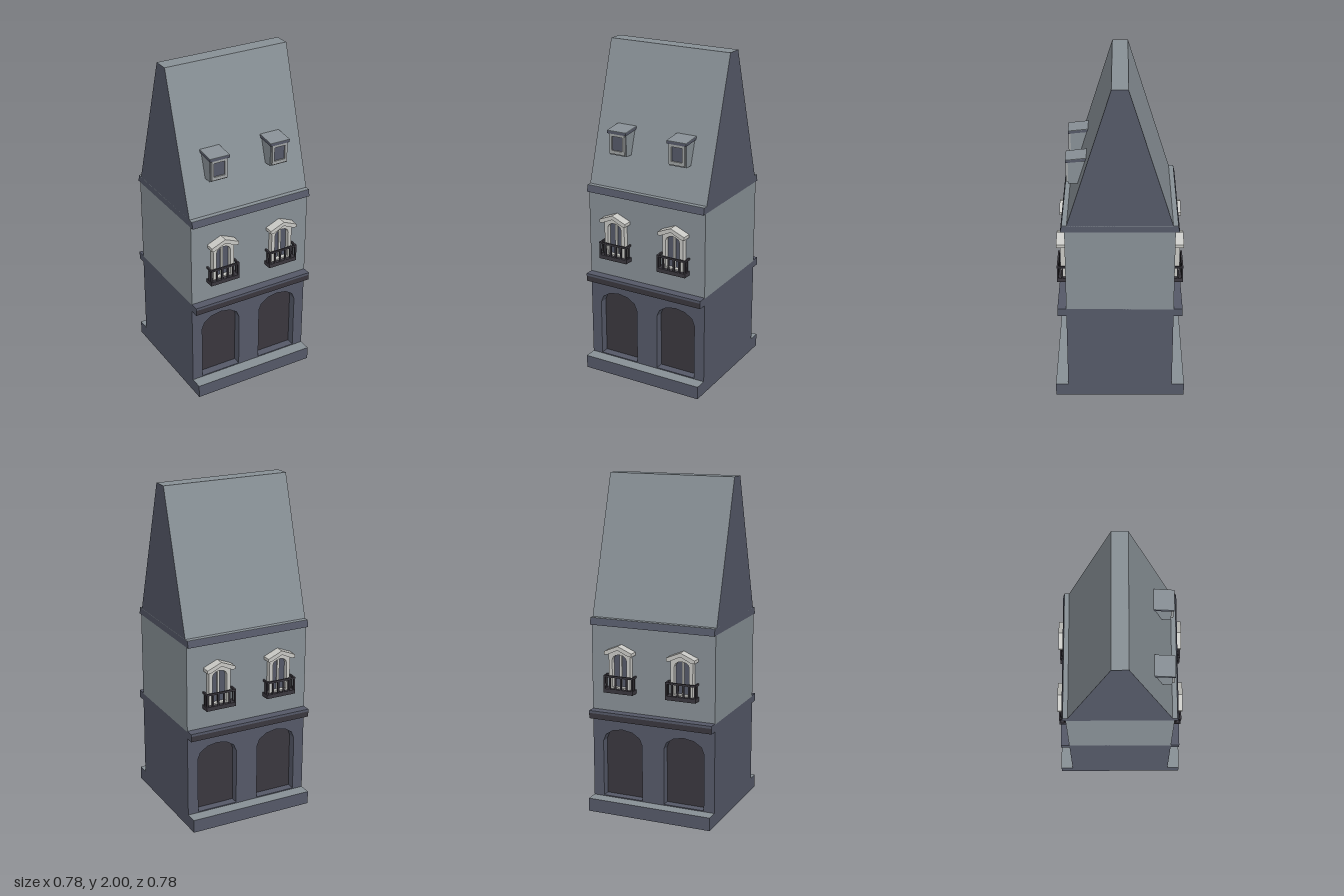
import * as THREE from 'three';

const mat = (name, color) => {
  const m = new THREE.MeshStandardMaterial({ color, flatShading: true });
  m.name = name;
  return m;
};

export function createModel() {
  const stone = mat('paleGreyStone', 0x889096);
  const slate = mat('blueSlate', 0x555968);
  const dark = mat('charcoal', 0x3a373e);
  const trim = mat('whiteTrim', 0xc9c9c5);
  const frameGrey = mat('frameGrey', 0xa0a3a4);

  const W = 0.78, HW = W / 2;
  const model = new THREE.Group();
  model.name = 'townhouse';

  const add = (parent, name, geo, material, x = 0, y = 0, z = 0) => {
    const m = new THREE.Mesh(geo, material);
    m.name = name;
    m.position.set(x, y, z);
    parent.add(m);
    return m;
  };
  // Box given by its lower and upper limits
  const box = (parent, name, material, x0, x1, y0, y1, z0, z1) =>
    add(parent, name, new THREE.BoxGeometry(x1 - x0, y1 - y0, z1 - z0), material,
      (x0 + x1) / 2, (y0 + y1) / 2, (z0 + z1) / 2);
  const poly = (pts) => new THREE.Shape(pts.map(([x, y]) => new THREE.Vector2(x, y)));
  const extrude = (shape, depth) =>
    new THREE.ExtrudeGeometry(shape, { depth, bevelEnabled: false });
  // Extrude a (z, y) profile along x, centred on x = 0
  const extrudeX = (pts, width) => {
    const g = extrude(poly(pts.map(([z, y]) => [-z, y])), width);
    g.translate(0, 0, -width / 2);
    return g.rotateY(Math.PI / 2);
  };
  // Outline of an opening with a rounded head of few segments
  const archPoints = (cx, half, y0, spring, top, n = 6) => {
    const pts = [[cx - half, y0], [cx + half, y0]];
    for (let i = 0; i <= n; i++) {
      const a = (i / n) * Math.PI;
      pts.push([cx + half * Math.cos(a), spring + (top - spring) * Math.sin(a)]);
    }
    return pts;
  };

  // Main body: box sides are ordered +x, -x, +y, -y, +z, -z
  box(model, 'plinth', [slate, slate, stone, slate, slate, slate], -HW, HW, 0, 0.08, -0.39, 0.39);
  box(model, 'groundFloorCore', [slate, slate, slate, slate, dark, dark],
    -HW, HW, 0.08, 0.6, -0.265, 0.265);
  box(model, 'ledge', [slate, slate, slate, dark, dark, dark], -HW, HW, 0.577, 0.61, -0.367, 0.367);
  box(model, 'ledgeCap', slate, -HW, HW, 0.61, 0.625, -0.367, 0.367);
  box(model, 'upperFloor', stone, -HW, HW, 0.62, 1.14, -0.315, 0.315);
  add(model, 'cornice', extrudeX(
    [[-0.339, 1.14], [0.339, 1.14], [0.33, 1.18], [-0.33, 1.18]], W), slate);
  box(model, 'corniceTop', stone, -HW, HW, 1.18, 1.182, -0.33, 0.33);

  // Steep roof: slate gable ends, pale slopes and ridge
  add(model, 'roof', extrudeX(
    [[-0.302, 1.18], [0.302, 1.18], [0.046, 2], [-0.046, 2]], W), [slate, stone]);

  // One window with surround, pediment and balcony
  const makeWindow = (x) => {
    const g = new THREE.Group();
    g.name = 'balconyWindow';
    g.position.x = x;
    const surround = poly([[-0.068, 0.77], [0.068, 0.77], [0.068, 0.985], [0, 1.012], [-0.068, 0.985]]);
    surround.holes.push(poly(archPoints(0, 0.046, 0.78, 0.945, 0.978)));
    add(g, 'windowSurround', extrude(surround, 0.034), trim, 0, 0, 0.314);
    box(g, 'windowGlass', slate, -0.05, 0.05, 0.775, 0.98, 0.315, 0.321);
    box(g, 'windowMullion', trim, -0.007, 0.007, 0.775, 0.978, 0.315, 0.33);
    add(g, 'pediment', extrude(poly([[-0.088, 0.978], [-0.068, 0.978], [0, 1.01], [0.068, 0.978],
      [0.088, 0.978], [0.088, 0.997], [0, 1.034], [-0.088, 0.997]]), 0.056), trim, 0, 0, 0.314);

    box(g, 'balconyFloor', dark, -0.094, 0.094, 0.748, 0.772, 0.314, 0.37);
    box(g, 'frontRail', dark, -0.094, 0.094, 0.842, 0.853, 0.36, 0.37);
    for (const s of [-1, 1]) {
      box(g, 'sideRail', dark, s * 0.089 - 0.005, s * 0.089 + 0.005, 0.842, 0.853, 0.314, 0.362);
      box(g, 'sideBaluster', dark, s * 0.089 - 0.004, s * 0.089 + 0.004, 0.77, 0.845, 0.334, 0.342);
    }
    for (let i = 0; i < 6; i++) {
      const bx = -0.089 + (i * 0.178) / 5;
      box(g, 'baluster', dark, bx - 0.005, bx + 0.005, 0.77, 0.845, 0.36, 0.369);
    }
    return g;
  };

  // Facade, used on the front and turned round for the back
  for (const turn of [0, Math.PI]) {
    const facade = new THREE.Group();
    facade.name = turn ? 'backFacade' : 'frontFacade';
    facade.rotation.y = turn;
    const wall = poly([[-HW, 0.08], [HW, 0.08], [HW, 0.6], [-HW, 0.6]]);
    for (const x of [-0.197, 0.197]) {
      wall.holes.push(poly(archPoints(x, 0.127, 0.086, 0.43, 0.512)));
      facade.add(makeWindow(x));
    }
    add(facade, 'arcadeWall', extrude(wall, 0.05), slate, 0, 0, 0.265);
    model.add(facade);
  }

  // Dormers on the front slope
  for (const x of [-0.197, 0.197]) {
    const g = new THREE.Group();
    g.name = 'dormer';
    g.position.x = x;
    add(g, 'dormerBody', extrudeX([[0.22, 1.38], [0.292, 1.38], [0.292, 1.517], [0.18, 1.53]], 0.112), stone);
    const frame = poly([[-0.05, 1.39], [0.05, 1.39], [0.05, 1.512], [-0.05, 1.512]]);
    frame.holes.push(poly([[-0.035, 1.41], [0.035, 1.41], [0.035, 1.495], [-0.035, 1.495]]));
    add(g, 'dormerFrame', extrude(frame, 0.014), frameGrey, 0, 0, 0.291);
    box(g, 'dormerGlass', slate, -0.036, 0.036, 1.409, 1.496, 0.29, 0.296);
    add(g, 'dormerRoof', extrudeX([[0.18, 1.523], [0.307, 1.51], [0.307, 1.525], [0.18, 1.538]], 0.126), slate);
    add(g, 'dormerRoofTop', extrudeX([[0.18, 1.538], [0.307, 1.525], [0.307, 1.528], [0.18, 1.542]], 0.126), stone);
    model.add(g);
  }
  return model;
}
